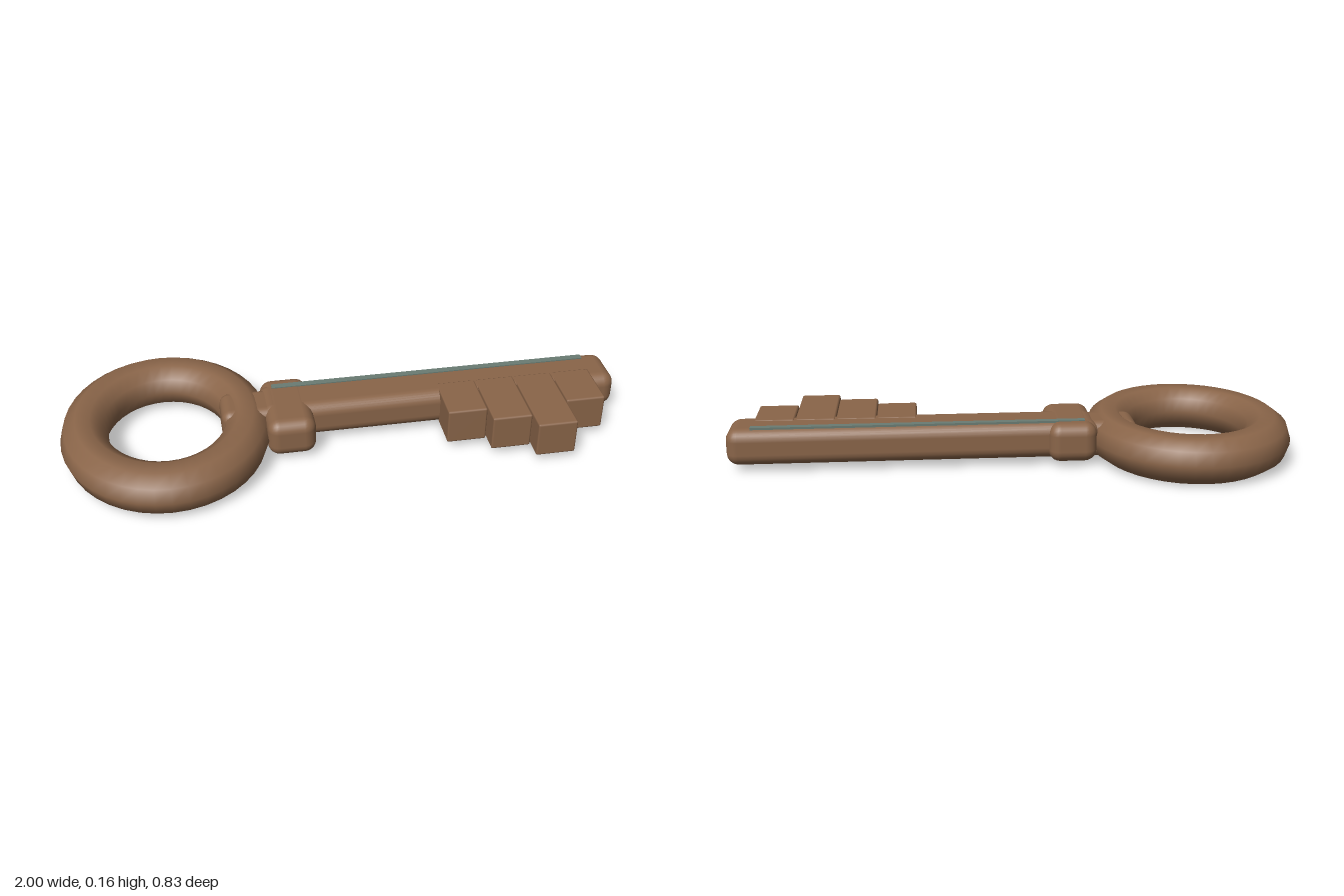
import * as THREE from 'three';
import { RoundedBoxGeometry } from 'three/addons/geometries/RoundedBoxGeometry.js';

export function createModel() {
  const key = new THREE.Group();
  key.name = 'key';
  const bronze = new THREE.MeshStandardMaterial({ color: 0x8a6549 });
  bronze.name = 'bronze';
  const verdigris = new THREE.MeshStandardMaterial({ color: 0x6a7c73 });
  verdigris.name = 'verdigris';

  const add = (name, geometry, material) => {
    const mesh = new THREE.Mesh(geometry, material);
    mesh.name = name;
    key.add(mesh);
    return mesh;
  };

  // Rounded block given by its limits on each axis
  const block = (name, [x0, x1], [y0, y1], [z0, z1], radius, segments = 3) => {
    const geometry = new RoundedBoxGeometry(x1 - x0, y1 - y0, z1 - z0, segments, radius);
    geometry.translate((x0 + x1) / 2, (y0 + y1) / 2, (z0 + z1) / 2);
    return add(name, geometry, bronze);
  };

  // Oval bow ring, lying flat
  const ring = new THREE.TorusGeometry(0.283, 0.083, 10, 40);
  ring.rotateX(Math.PI / 2);
  ring.scale(1, 1, 1.133);
  ring.translate(-0.634, 0.08, 0);
  add('bowRing', ring, bronze);

  // Neck, collar and shaft
  block('neck', [-0.44, -0.2], [0.02, 0.15], [-0.105, 0.055], 0.035);
  block('collar', [-0.29, -0.12], [0.018, 0.157], [-0.157, 0.153], 0.042);
  block('shaft', [-0.3, 0.995], [0.026, 0.156], [-0.128, 0.06], 0.042);

  // Teeth along the front edge: start and reach
  const teeth = [[0.338, 0.178], [0.481, 0.242], [0.624, 0.305], [0.767, 0.178]];
  for (const [x, reach] of teeth) {
    block('tooth', [x, x + 0.141], [0.029, 0.158], [-0.01, reach], 0.007, 1);
  }

  // Thin inlaid strip on top of the shaft
  const strip = new THREE.BoxGeometry(1.16, 0.009, 0.024);
  strip.translate(0.33, 0.1555, -0.09);
  add('inlayStrip', strip, verdigris);

  return key;
}
